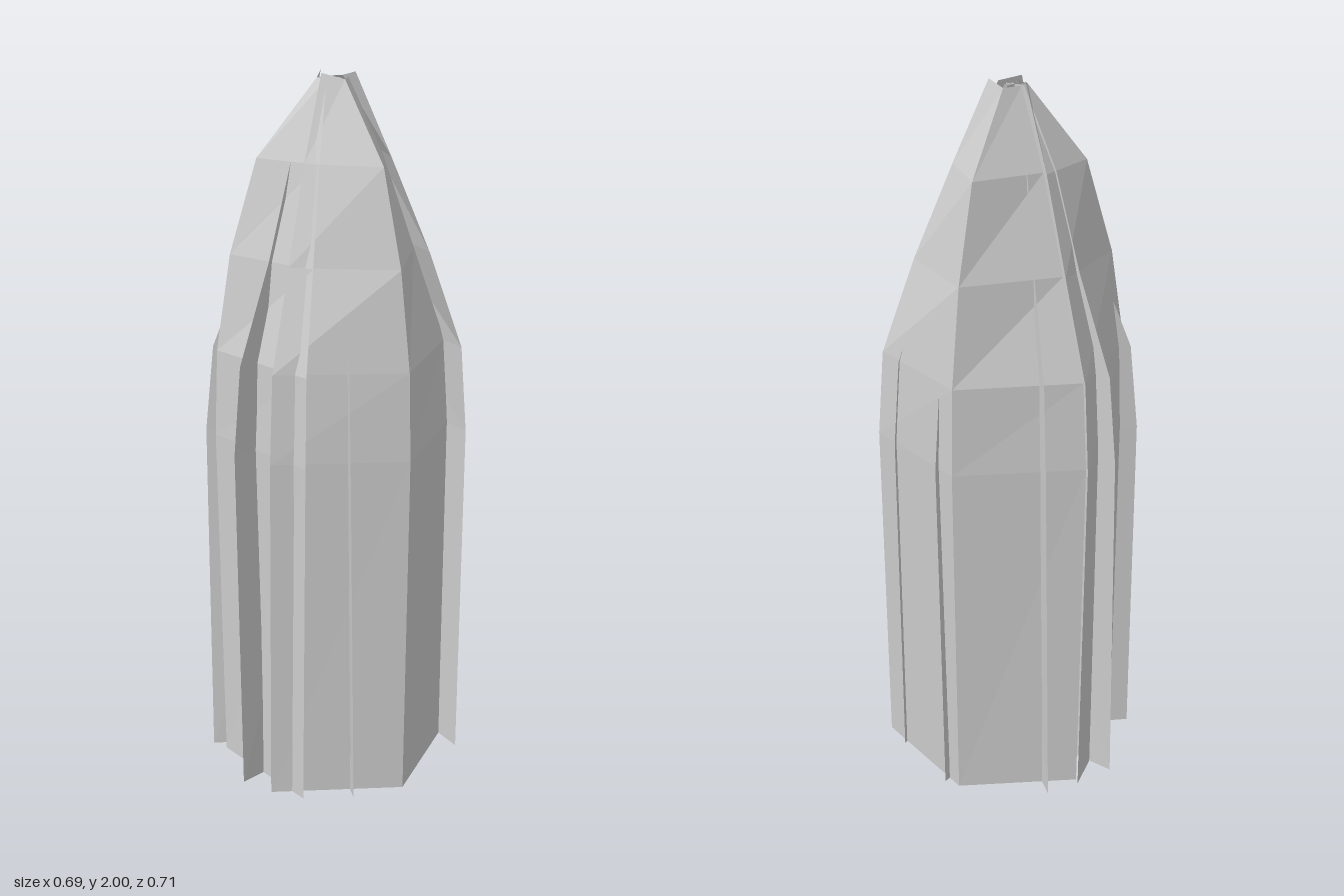
import * as THREE from 'three';

const rad = THREE.MathUtils.degToRad;
// heights shared by every petal and fin
const levels = [0, 1, 1.245, 1.515, 1.775, 1.985];

const polar = (deg, r, y) => [r * Math.cos(rad(deg)), y, r * Math.sin(rad(deg))];

// open sheet through equally long rows of points
function sheet(rows, name, material) {
  const n = rows[0].length, index = [];
  for (let i = 0; i < rows.length - 1; i++) {
    for (let j = 0; j < n - 1; j++) {
      const a = i * n + j, b = a + n;
      index.push(a, b, a + 1, a + 1, b, b + 1);
    }
  }
  const geometry = new THREE.BufferGeometry();
  geometry.setAttribute('position', new THREE.Float32BufferAttribute(rows.flat(2), 3));
  geometry.setIndex(index);
  geometry.computeVertexNormals();
  const mesh = new THREE.Mesh(geometry, material);
  mesh.name = name;
  return mesh;
}

export function createModel() {
  const group = new THREE.Group();
  group.name = 'closedBud';
  const material = new THREE.MeshStandardMaterial({
    color: 0xcccccc, flatShading: true, side: THREE.DoubleSide,
  });

  // three outer petals, each folded along a crease, with overlapping wings
  const creaseR = [0.345, 0.356, 0.347, 0.306, 0.23, 0.065];
  const edgeR = [0.345, 0.35, 0.332, 0.238, 0.148, 0.05];
  const petals = [
    { name: 'frontPetal', crease: 96.4, ends: [32, 161], inset: 0, grow: 0 },
    { name: 'leftPetal', crease: -13, ends: [-77, 47], inset: 0.002, grow: 0.036 },
    { name: 'backPetal', crease: 215, ends: [144.5, 284.5], inset: 0.03, grow: 0 },
  ];
  for (const p of petals) {
    const rows = levels.map((y, i) => [
      polar(p.ends[0] + (i ? 0 : 2), edgeR[i] - (p.grow ? 0.02 : 0), y),
      polar(p.crease, creaseR[i] - p.inset, y),
      polar(p.ends[1] + (i ? 0 : 2), edgeR[i] + (i < 4 ? p.grow : p.grow / 2), i === 5 ? 2 : y),
    ]);
    group.add(sheet(rows, p.name, material));
  }

  // inner petals folded flat into radial fins: [angle, outer radius]
  const fins = [
    [40, 0.3], [85, 0.305], [124.5, 0.34], [181.5, 0.35],
    [223, 0.352], [269, 0.358], [305, 0.352], [357, 0.345],
  ];
  const finTaper = [1, 1, 0.93, 0.63, 0.4, 0.09];
  fins.forEach(([angle, r]) => {
    const rows = levels.map((y, i) => [
      [0, y, 0],
      polar(angle - (i ? 0 : 2.2), r * finTaper[i], y),
    ]);
    group.add(sheet(rows, 'innerFin', material));
  });
  return group;
}
